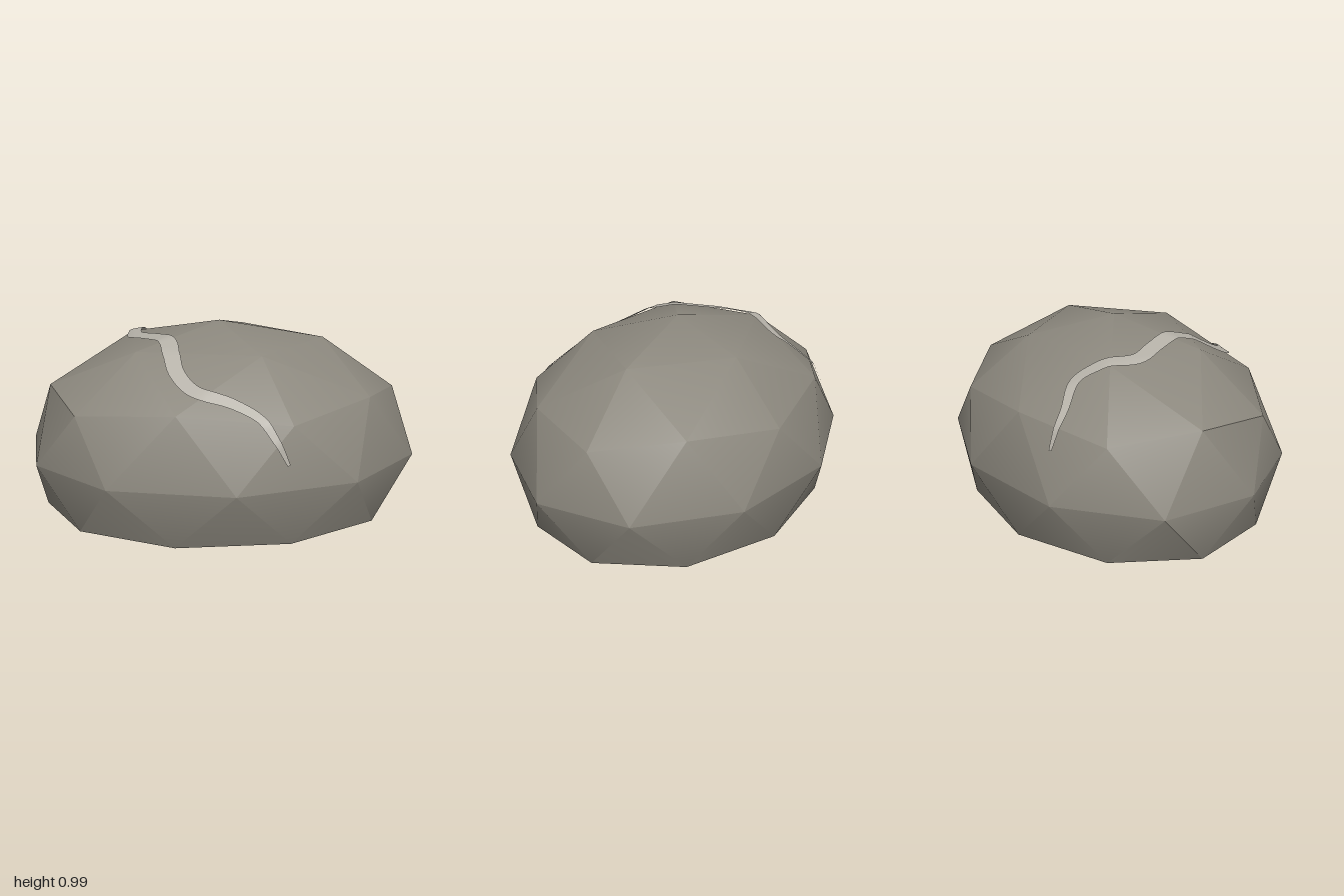
import * as THREE from 'three';
import { toCreasedNormals } from 'three/addons/utils/BufferGeometryUtils.js';

const CENTRE = new THREE.Vector3(0, 0.3, 0);
const RADII = new THREE.Vector3(1.0515, 0.69, 0.83);
const FLOOR = -CENTRE.y / RADII.y; // ground level on the unit sphere

// Boulder: a squashed icosphere standing on a vertex axis, cut flat at the ground
function makeBoulder() {
  const geo = new THREE.IcosahedronGeometry(1, 1);
  geo.rotateZ(-Math.atan(2 / (1 + Math.sqrt(5))));
  const pos = geo.attributes.position;
  const v = new THREE.Vector3();
  for (let i = 0; i < pos.count; i++) {
    v.fromBufferAttribute(pos, i);
    if (v.y < FLOOR) {
      // widen the lowest ring to where the sides meet the ground
      const r = Math.hypot(v.x, v.z);
      if (r > 0.7) { v.x *= 0.885 / r; v.z *= 0.885 / r; }
      v.y = FLOOR;
    }
    v.multiply(RADII).add(CENTRE);
    // worn spot on the right side
    if (v.z > 0.1) v.x = Math.max(v.x, -0.97);
    pos.setXYZ(i, v.x, v.y, v.z);
  }
  const material = new THREE.MeshStandardMaterial({ color: 0x8b877d });
  const mesh = new THREE.Mesh(toCreasedNormals(geo, 0.5), material);
  mesh.name = 'boulder';
  return mesh;
}

// Mineral vein: a tapered ribbon laid on the boulder's surface
function makeVein(boulder) {
  const path = new THREE.CatmullRomCurve3([
    [-0.54, 0.55, -0.64], [-0.47, 0.71, -0.52], [-0.38, 0.82, -0.41], [-0.4, 0.87, -0.28],
    [-0.43, 0.88, -0.1], [-0.36, 0.91, 0.04], [-0.28, 0.91, 0.18], [-0.27, 0.88, 0.32],
    [-0.26, 0.83, 0.45], [-0.18, 0.76, 0.57], [0, 0.72, 0.65], [0.13, 0.65, 0.7],
    [0.2, 0.55, 0.745], [0.27, 0.43, 0.78],
  ].map((p) => new THREE.Vector3(...p)));

  boulder.updateMatrixWorld();
  const ray = new THREE.Raycaster();
  // drop a point onto the boulder along the line to its centre
  const project = (p) => {
    const dir = CENTRE.clone().sub(p).normalize();
    ray.set(CENTRE.clone().addScaledVector(dir, -3), dir);
    const hit = ray.intersectObject(boulder)[0];
    return (hit ? hit.point : p.clone()).addScaledVector(dir, -0.014);
  };

  const rows = 72, cols = 4;
  const positions = [], index = [];
  for (let i = 0; i <= rows; i++) {
    const t = i / rows;
    const p = path.getPointAt(t);
    const normal = p.clone().sub(CENTRE).divide(RADII).divide(RADII).normalize();
    const side = normal.cross(path.getTangentAt(t)).normalize();
    const half = 0.008 + 0.034 * Math.pow(Math.sin(Math.PI * t), 0.8);
    for (let j = 0; j <= cols; j++) {
      const q = project(p.clone().addScaledVector(side, half * (2 * j / cols - 1)));
      positions.push(q.x, q.y, q.z);
      if (i < rows && j < cols) {
        const a = i * (cols + 1) + j, b = a + cols + 1;
        index.push(a, b, a + 1, b, b + 1, a + 1);
      }
    }
  }
  const geo = new THREE.BufferGeometry();
  geo.setAttribute('position', new THREE.Float32BufferAttribute(positions, 3));
  geo.setIndex(index);
  geo.computeVertexNormals();
  const material = new THREE.MeshStandardMaterial({ color: 0xb5b1a8, side: THREE.DoubleSide });
  const mesh = new THREE.Mesh(geo, material);
  mesh.name = 'mineralVein';
  return mesh;
}

export function createModel() {
  const group = new THREE.Group();
  group.name = 'rock';
  const boulder = makeBoulder();
  group.add(boulder, makeVein(boulder));
  return group;
}
